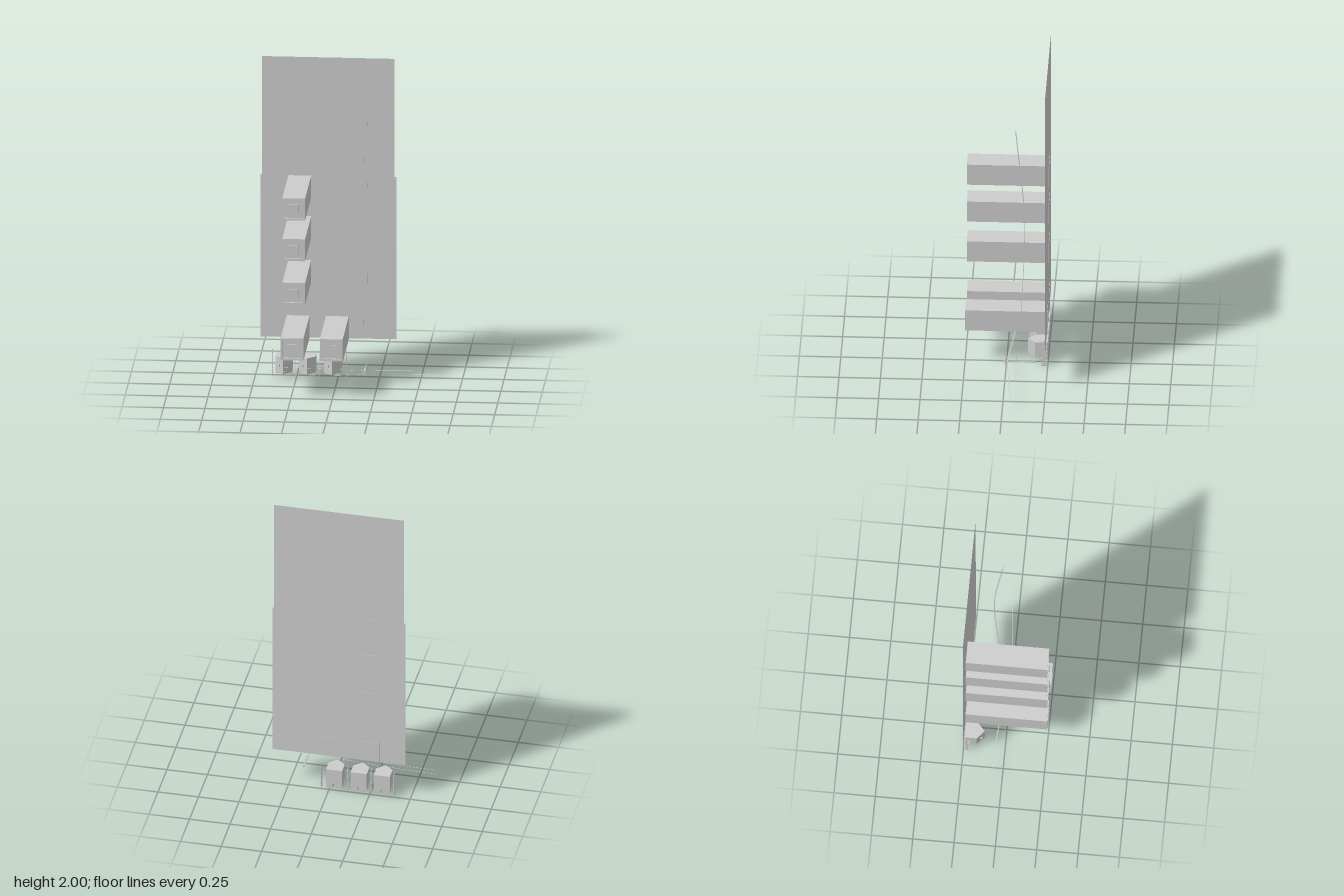
import * as THREE from 'three';

const mat = new THREE.MeshStandardMaterial({ color: 0xcccccc, flatShading: true, side: THREE.DoubleSide });

function add(parent, name, geometry, x = 0, y = 0, z = 0) {
  const mesh = new THREE.Mesh(geometry, mat);
  mesh.name = name;
  mesh.position.set(x, y, z);
  parent.add(mesh);
  return mesh;
}
const box = (w, h, d) => new THREE.BoxGeometry(w, h, d);

function polygon(points) {
  return new THREE.Shape(points.map(([x, y]) => new THREE.Vector2(x, y)));
}

// Flat ribbon following a smooth line through [along, offset] points
function ribbon(points, width) {
  const curve = new THREE.SplineCurve(points.map(([a, b]) => new THREE.Vector2(a, b)));
  const line = curve.getPoints(16);
  const edge = (s) => line.map((p) => [p.x, p.y + s * width / 2]);
  return new THREE.ShapeGeometry(polygon([...edge(1), ...edge(-1).reverse()]));
}

// Long square beam with a stepped recess in its front end
function makeBeam(x, y) {
  const beam = new THREE.Group();
  beam.name = 'beam';
  const size = 0.138, back = -0.248, front = 0.248, recess = 0.012;
  const depth = front - back - recess;
  add(beam, 'beamBody', box(size, size, depth), 0, 0, back + depth / 2);
  const rim = polygon([[-1, -1], [1, -1], [1, 1], [-1, 1]].map(([a, b]) => [a * size / 2, b * size / 2]));
  const h = 0.056;
  rim.holes.push(new THREE.Path([[-h, -h], [-h, h], [h, h], [h, -h]].map(([a, b]) => new THREE.Vector2(a, b))));
  add(beam, 'beamRim', new THREE.ExtrudeGeometry(rim, { depth: recess, bevelEnabled: false }), 0, 0, front - recess);
  add(beam, 'beamCore', box(0.055, 0.055, 0.008), 0, 0, front - recess + 0.004);
  beam.position.set(x, y, 0);
  return beam;
}

// Small block with a pointed front, a knob and a stepped foot
function makeBlock(x) {
  const block = new THREE.Group();
  block.name = 'pointedBlock';
  const plan = polygon([[0, 0.248], [0.1, 0.248], [0.1, 0.172], [0.05, 0.128], [0, 0.172]]);
  const body = new THREE.ExtrudeGeometry(plan, { depth: 0.1, bevelEnabled: false });
  body.rotateX(-Math.PI / 2);
  add(block, 'blockBody', body, 0, 0.042, 0);
  add(block, 'footLeft', box(0.05, 0.02, 0.034), 0.025, 0.033, -0.23);
  add(block, 'footRight', box(0.038, 0.031, 0.034), 0.077, 0.0275, -0.23);
  const knob = add(block, 'knob', box(0.012, 0.012, 0.012), 0.024, 0.09, -0.148);
  knob.rotation.y = -0.72;
  block.position.x = x;
  return block;
}

// Thin upright rack with teeth
function makeRack(x) {
  const teeth = 11, height = 0.17, near = 0.213, far = 0.247, pitch = height / teeth;
  const left = [], right = [];
  for (let i = 0; i < teeth; i++) {
    const y = i * pitch;
    left.push([near, y], [near, y + pitch * 0.5], [near + 0.011, y + pitch * 0.5], [near + 0.011, y + pitch]);
    right.push([far, y], [far, y + pitch * 0.5], [far - 0.011, y + pitch * 0.5], [far - 0.011, y + pitch]);
  }
  const geometry = new THREE.ExtrudeGeometry(polygon([...right, ...left.reverse()]), { depth: 0.003, bevelEnabled: false });
  geometry.rotateY(Math.PI / 2);
  const mesh = new THREE.Mesh(geometry, mat);
  mesh.name = 'toothedRack';
  mesh.position.x = x - 0.0015;
  return mesh;
}

export function createModel() {
  const model = new THREE.Group();
  model.name = 'panelAssembly';

  // Tall backing panel and the slightly wider lower one
  add(model, 'tallPanel', new THREE.PlaneGeometry(0.8, 1.76), -0.06, 1.12, -0.246);
  add(model, 'lowerPanel', new THREE.PlaneGeometry(0.82, 1.02), -0.06, 0.75, -0.2455);

  // Beams: a column of three above two at the bottom
  for (const [x, y] of [[-0.233, 1.187], [-0.233, 0.932], [-0.233, 0.657], [-0.243, 0.308], [-0.006, 0.308]]) {
    model.add(makeBeam(x, y));
  }

  // Blocks between upright racks
  for (const x of [-0.374, -0.232, -0.08]) model.add(makeBlock(x));
  for (const x of [-0.397, -0.256, -0.111, 0.051]) model.add(makeRack(x));

  // Thin rod with a crosspiece near its front
  const rod = new THREE.Group();
  rod.name = 'crossRod';
  rod.position.set(0.174, 0.094, 0);
  add(rod, 'rodCore', box(0.004, 0.005, 0.2), 0, 0, -0.08);
  for (let i = 0; i < 20; i++) add(rod, 'rodRib', box(0.01, 0.007, 0.005), 0, 0, 0.015 - i * 0.01);
  add(rod, 'crossArm', box(0.038, 0.004, 0.005));
  add(rod, 'crossPost', box(0.004, 0.04, 0.005));
  model.add(rod);

  // Pairs of fine wires, upright and sideways
  const upright = [[0.09, -0.065], [0.5, -0.098], [0.95, -0.116], [1.2, -0.11], [1.68, -0.062]];
  const sideways = [[-0.616, -0.064], [-0.42, -0.059], [-0.16, -0.04], [0.175, -0.01]];
  const tail = [[0.175, -0.01], [0.616, -0.049]];
  for (const s of [-1, 1]) {
    const wire = ribbon(upright, 0.003);
    wire.rotateZ(Math.PI / 2).scale(-1, 1, 1).rotateY(-Math.PI / 2);
    add(model, 'uprightWire', wire, 0.175 + s * 0.013, 0, 0);
    for (const part of [sideways, tail]) {
      const flat = ribbon(part, 0.003);
      flat.rotateX(Math.PI / 2);
      add(model, 'sidewaysWire', flat, 0, 0.094 + s * 0.013, 0);
    }
  }
  return model;
}
